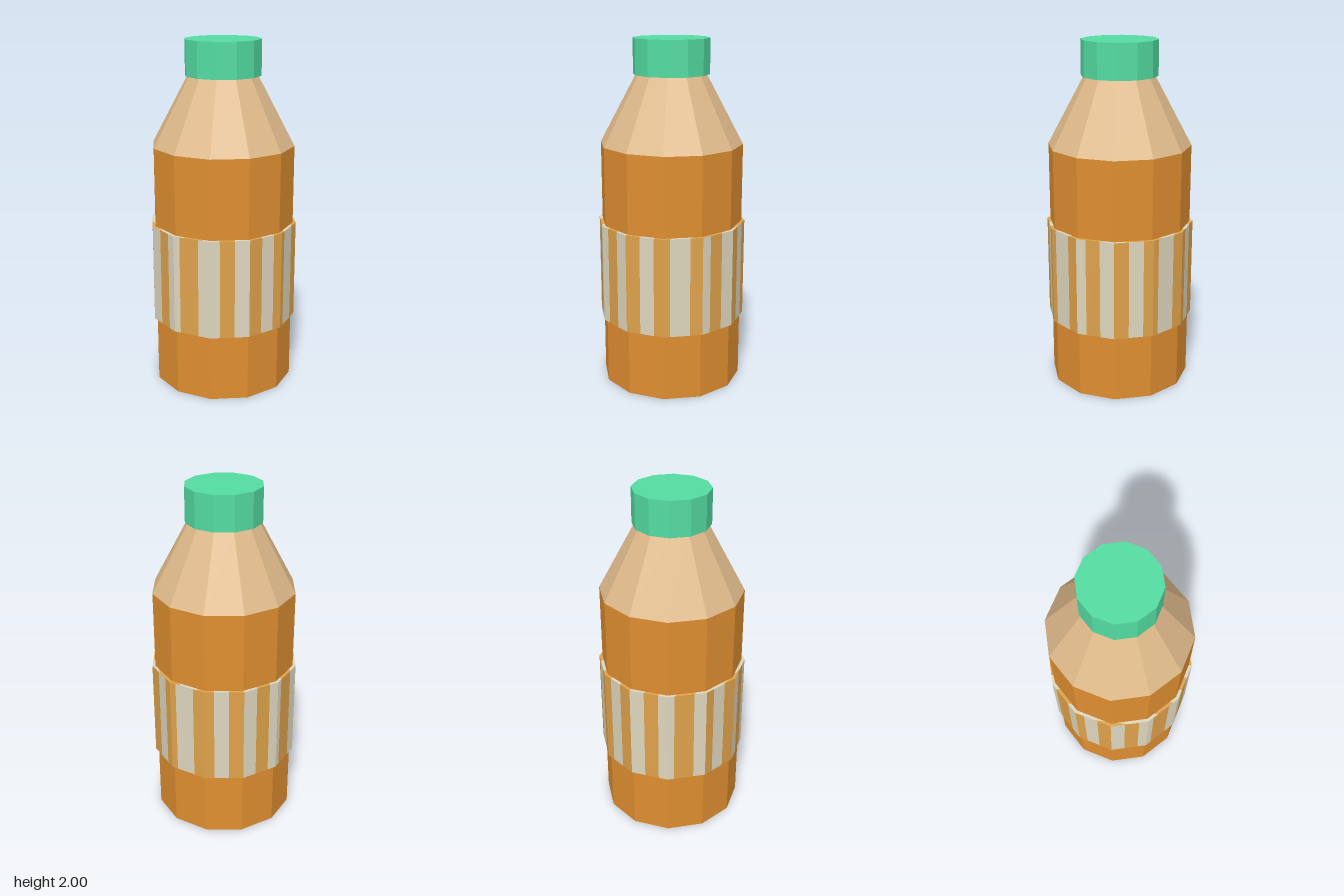
import * as THREE from 'three';

const SIDES = 12;
const LABEL_R = 0.427, LABEL_BOTTOM = 0.39, LABEL_TOP = 0.96;
const STRIPE = 0.08;

const material = (name, color, side = THREE.FrontSide) => {
  const m = new THREE.MeshStandardMaterial({ color, side });
  m.name = name;
  m.flatShading = true;
  return m;
};

// Twelve-sided section of the bottle standing on y0
function section(name, rTop, rBottom, y0, y1, mat) {
  const geo = new THREE.CylinderGeometry(rTop, rBottom, y1 - y0, SIDES);
  const mesh = new THREE.Mesh(geo, mat);
  mesh.name = name;
  mesh.position.y = (y0 + y1) / 2;
  return mesh;
}

// Sorted values from a to b, cut at every stripe edge and at extra points
function cuts(a, b, extra = []) {
  const list = [a, b, ...extra];
  for (let k = -6; k <= 6; k++) list.push(k * STRIPE);
  return list.filter(v => v >= a - 1e-6 && v <= b + 1e-6)
    .sort((p, q) => p - q)
    .filter((v, i, all) => i === 0 || v - all[i - 1] > 1e-5);
}

const isOdd = v => Math.abs(Math.floor(v / STRIPE)) % 2 === 1;

// Label sleeve: vertical stripes on each facet, straight stripes on its rims
function createLabel(cream, gold) {
  const data = { cream: [], gold: [] };
  const quad = (isCream, a, b, c, d) =>
    (isCream ? data.cream : data.gold).push(...a, ...b, ...c, ...a, ...c, ...d);
  const corner = i => {
    const t = i * Math.PI * 2 / SIDES;
    return [LABEL_R * Math.sin(t), LABEL_R * Math.cos(t)];
  };

  for (let i = 0; i < SIDES; i++) {
    const p = corner(i), q = corner(i + 1);
    // facets facing mostly front or back are striped along x, the others along z
    const alongX = [0, 1, 5, 6, 7, 11].includes(i);
    const axis = alongX ? 0 : 1;
    const lo = Math.min(p[axis], q[axis]), hi = Math.max(p[axis], q[axis]);
    const steps = cuts(lo, hi);
    const at = v => {
      const t = (v - p[axis]) / (q[axis] - p[axis]);
      return [p[0] + (q[0] - p[0]) * t, p[1] + (q[1] - p[1]) * t];
    };
    for (let k = 0; k + 1 < steps.length; k++) {
      const mid = (steps[k] + steps[k + 1]) / 2;
      let a = at(steps[k]), b = at(steps[k + 1]);
      if (q[axis] < p[axis]) [a, b] = [b, a];
      quad(alongX ? isOdd(mid) : !isOdd(mid),
        [a[0], LABEL_BOTTOM, a[1]], [b[0], LABEL_BOTTOM, b[1]],
        [b[0], LABEL_TOP, b[1]], [a[0], LABEL_TOP, a[1]]);
    }
  }

  // Rims: strips across the twelve-sided outline
  const outline = Array.from({ length: 7 }, (_, i) => corner(i - 3));
  const halfDepth = x => {
    for (let i = 0; i < 6; i++) {
      const [x0, z0] = outline[i], [x1, z1] = outline[i + 1];
      if (x <= x1 + 1e-6) return z0 + (z1 - z0) * (x - x0) / (x1 - x0);
    }
    return 0;
  };
  const xs = cuts(-LABEL_R, LABEL_R, outline.map(p => p[0]));
  for (let k = 0; k + 1 < xs.length; k++) {
    const a = xs[k], b = xs[k + 1], ha = halfDepth(a), hb = halfDepth(b);
    const odd = isOdd((a + b) / 2);
    quad(odd, [a, LABEL_TOP, ha], [b, LABEL_TOP, hb], [b, LABEL_TOP, -hb], [a, LABEL_TOP, -ha]);
    quad(odd, [a, LABEL_BOTTOM, -ha], [b, LABEL_BOTTOM, -hb], [b, LABEL_BOTTOM, hb], [a, LABEL_BOTTOM, ha]);
  }

  const label = new THREE.Group();
  label.name = 'label';
  for (const [key, mat] of [['cream', cream], ['gold', gold]]) {
    const geo = new THREE.BufferGeometry();
    geo.setAttribute('position', new THREE.Float32BufferAttribute(data[key], 3));
    geo.computeVertexNormals();
    const mesh = new THREE.Mesh(geo, mat);
    mesh.name = key + 'Stripes';
    label.add(mesh);
  }
  return label;
}

export function createModel() {
  const amber = material('amber', 0xdf8e30);
  const tan = material('tan', 0xe0bb8b);
  const green = material('green', 0x54dca2);
  const cream = material('cream', 0xded6be);
  const gold = material('gold', 0xdea24b);

  const bottle = new THREE.Group();
  bottle.name = 'bottle';
  bottle.add(
    section('body', 0.409, 0.409, 0, 1.41, amber),
    section('shoulder', 0.2, 0.409, 1.41, 1.8, tan),
    section('cap', 0.217, 0.217, 1.8, 2, green),
    createLabel(cream, gold),
  );
  return bottle;
}
